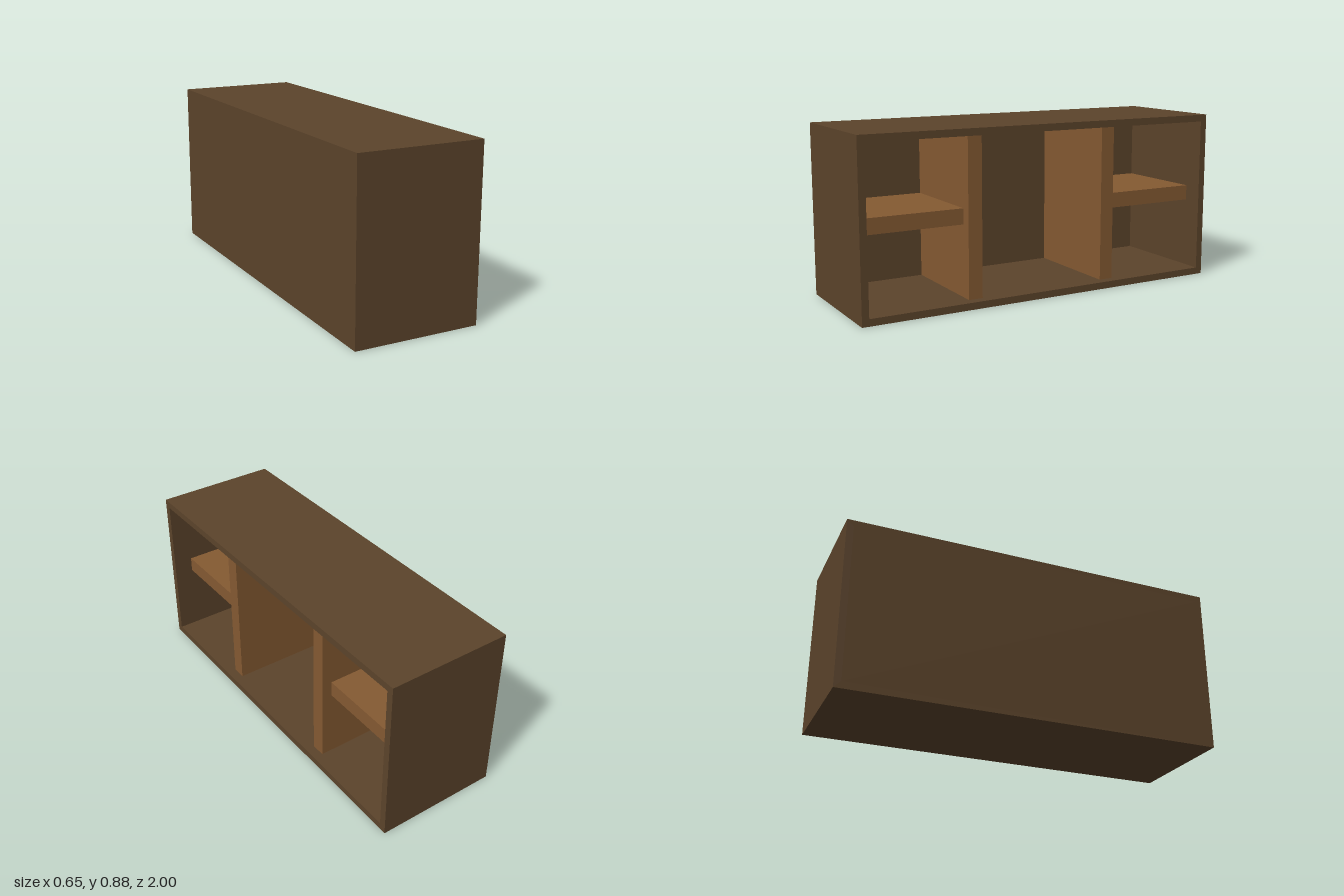
import * as THREE from 'three';

const DEPTH = 0.65, HEIGHT = 0.885, LENGTH = 2, WALL = 0.036;
const darkWood = new THREE.MeshStandardMaterial({ color: 0x5c442b });
const lightWood = new THREE.MeshStandardMaterial({ color: 0x855a32 });

// Rectangle centred on x = 0, used for the frame outline and its opening
function rectangle(PathType, halfWidth, bottom, top) {
  return new PathType([
    new THREE.Vector2(-halfWidth, bottom), new THREE.Vector2(halfWidth, bottom),
    new THREE.Vector2(halfWidth, top), new THREE.Vector2(-halfWidth, top),
  ]);
}

// Board given by its lower and upper corner
function board(name, material, min, max) {
  const size = max.map((v, i) => v - min[i]);
  const mesh = new THREE.Mesh(new THREE.BoxGeometry(...size), material);
  mesh.position.set(...max.map((v, i) => (v + min[i]) / 2));
  mesh.name = name;
  return mesh;
}

export function createModel() {
  const model = new THREE.Group();
  model.name = 'shelfUnit';

  // Outer frame, open towards +x
  const outline = rectangle(THREE.Shape, LENGTH / 2, 0, HEIGHT);
  outline.holes.push(rectangle(THREE.Path, LENGTH / 2 - WALL, WALL, HEIGHT - WALL));
  const frameGeometry = new THREE.ExtrudeGeometry(outline, { depth: DEPTH, bevelEnabled: false });
  frameGeometry.translate(0, 0, -DEPTH / 2).rotateY(Math.PI / 2);
  const frame = new THREE.Mesh(frameGeometry, darkWood);
  frame.name = 'outerFrame';
  model.add(frame);

  // Panel closing the -x side
  const inner = -DEPTH / 2 + WALL;
  const end = LENGTH / 2 - WALL;
  model.add(board('backPanel', darkWood,
    [-DEPTH / 2, WALL, -end], [inner, HEIGHT - WALL, end]));

  // Upright dividers and the shelves in the two end bays
  for (const [label, side] of [['front', 1], ['rear', -1]]) {
    const span = (a, b) => (side > 0 ? [a, b] : [-b, -a]);
    const [d0, d1] = span(0.35, 0.425);
    model.add(board(label + 'Divider', lightWood,
      [inner, WALL, d0], [0.275, HEIGHT - WALL, d1]));
    const [s0, s1] = span(0.425, end);
    model.add(board(label + 'Shelf', lightWood, [inner, 0.405, s0], [0.222, 0.485, s1]));
  }

  return model;
}
